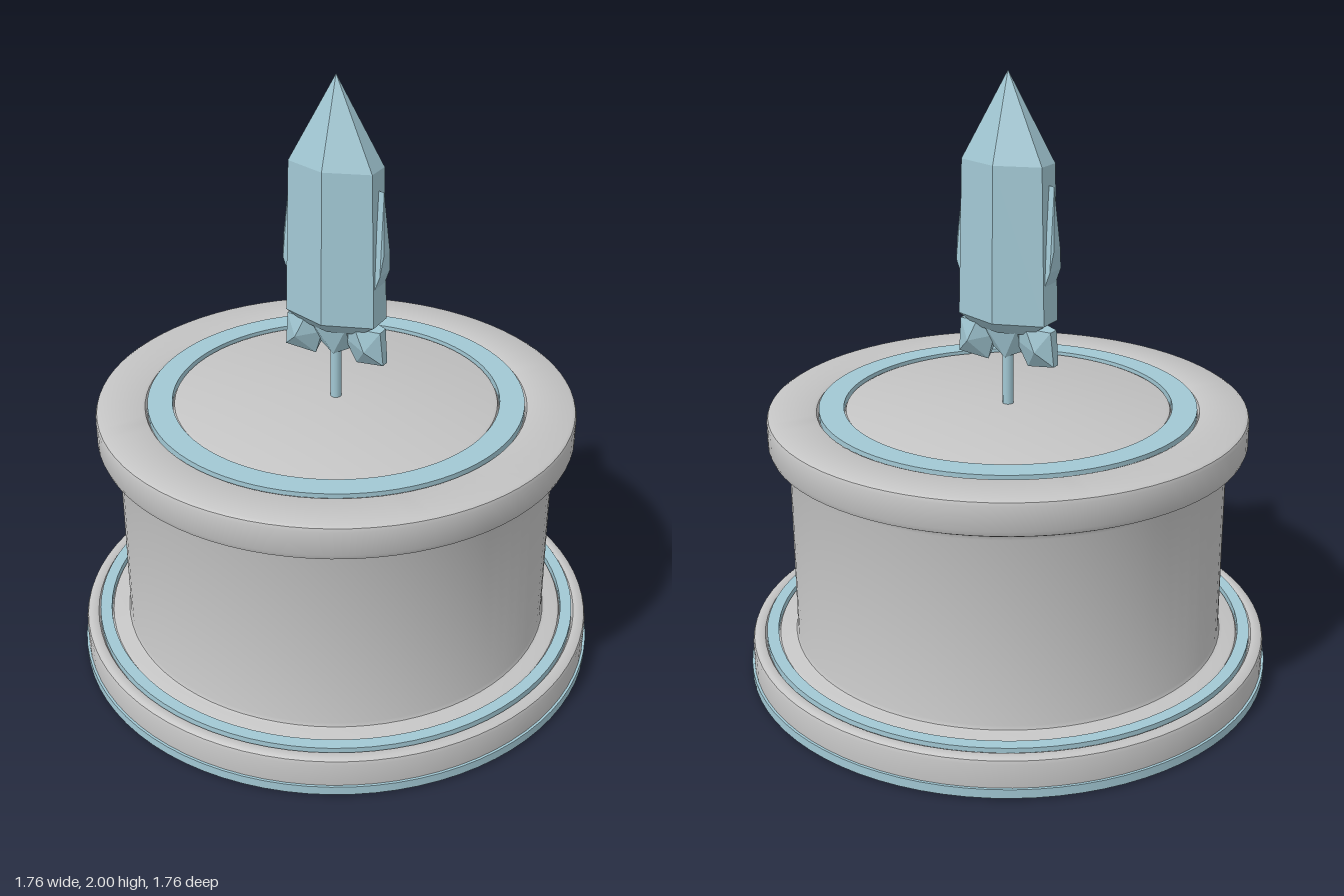
import * as THREE from 'three';
import { toCreasedNormals } from 'three/addons/utils/BufferGeometryUtils.js';
import { ConvexGeometry } from 'three/addons/geometries/ConvexGeometry.js';

const stone = new THREE.MeshStandardMaterial({ color: 0xc4c4c4 });
stone.name = 'greyStone';
const ice = new THREE.MeshStandardMaterial({ color: 0xa2c8d4 });
ice.name = 'paleBlue';

export function createModel() {
  const group = new THREE.Group();

  const add = (name, geometry, material) => {
    const mesh = new THREE.Mesh(geometry, material);
    mesh.name = name;
    group.add(mesh);
    return mesh;
  };
  // Round part from [radius, height] pairs, listed bottom to top along the outside
  const turned = (name, profile, material) => add(name, toCreasedNormals(
    new THREE.LatheGeometry(profile.map(([r, y]) => new THREE.Vector2(r, y)), 80), 0.6), material);
  // Flat-sided crystal around a set of corners
  const crystal = (name, corners) =>
    add(name, new ConvexGeometry(corners.map(c => new THREE.Vector3(...c))), ice);
  // Flat band with a rectangular section
  const band = (name, r0, r1, y0, y1) =>
    turned(name, [[r0, y0], [r1, y0], [r1, y1], [r0, y1], [r0, y0]], ice);

  // Pedestal: foot, drum and overhanging lid, with shallow grooves for the inlays
  turned('pedestal', [
    [0, 0], [0.87, 0], [0.872, 0.02], [0.872, 0.115], [0.868, 0.126], [0.858, 0.132],
    [0.84, 0.134], [0.832, 0.13], [0.826, 0.118], [0.785, 0.118], [0.78, 0.13], [0.772, 0.134],
    [0.735, 0.134], [0.725, 0.138], [0.72, 0.15],
    [0.72, 0.765], [0.724, 0.782], [0.736, 0.793], [0.765, 0.798], [0.78, 0.806], [0.786, 0.822],
    [0.786, 0.9], [0.782, 0.911], [0.772, 0.917],
    [0.635, 0.918], [0.626, 0.914], [0.62, 0.9], [0.535, 0.9], [0.53, 0.914], [0.52, 0.918], [0, 0.918],
  ], stone);

  // Blue inlays and base trim
  band('baseTrim', 0.85, 0.88, 0.006, 0.036);
  band('footInlay', 0.786, 0.825, 0.115, 0.141);
  band('lidInlay', 0.537, 0.618, 0.895, 0.924);

  // Thin stem holding the crystal
  const stem = add('stem', new THREE.CylinderGeometry(0.018, 0.018, 0.29, 12), ice);
  stem.position.y = 1.055;

  // Main crystal: stretched hexagon, pointed at the top
  const hexagon = (x, z, zSide, y) => [
    [0, y, z], [x, y, zSide], [x, y, -zSide], [0, y, -z], [-x, y, -zSide], [-x, y, zSide],
  ];
  crystal('mainCrystal', [
    ...hexagon(0.1, 0.06, 0.03, 1.175),
    ...hexagon(0.158, 0.1, 0.045, 1.215),
    ...hexagon(0.145, 0.093, 0.042, 1.72),
    [0, 2, 0],
  ]);

  // Small knot of crystal around the stem
  crystal('crystalRoot', [
    [0.055, 1.105, 0], [-0.055, 1.105, 0], [0, 1.08, 0.02], [0, 1.08, -0.02],
    [0.06, 1.19, 0.05], [-0.06, 1.19, 0.05], [0.06, 1.19, -0.05], [-0.06, 1.19, -0.05],
  ]);

  for (const s of [1, -1]) {
    const side = s > 0 ? 'left' : 'right';
    // Slim shard lying against the side face
    crystal(side + 'SideShard', [
      [s * 0.165, 1.655, 0], [s * 0.13, 1.66, 0],
      [s * 0.178, 1.46, 0.02], [s * 0.178, 1.46, -0.02],
      [s * 0.172, 1.39, 0.036], [s * 0.172, 1.39, -0.036],
      [s * 0.15, 1.33, 0.036], [s * 0.15, 1.33, -0.036],
      [s * 0.13, 1.4, 0],
    ]);
    // Stubby crystal pointing down and outwards
    crystal(side + 'LowerCrystal', [
      [s * 0.168, 1.19, 0.02], [s * 0.168, 1.19, -0.02],
      [s * 0.178, 1.075, 0.015], [s * 0.178, 1.075, -0.015],
      [s * 0.075, 1.058, 0], [s * 0.04, 1.15, 0.02], [s * 0.04, 1.15, -0.02],
      [s * 0.125, 1.125, 0.05], [s * 0.125, 1.125, -0.05],
      [s * 0.09, 1.2, 0.045], [s * 0.09, 1.2, -0.045],
    ]);
  }

  return group;
}
